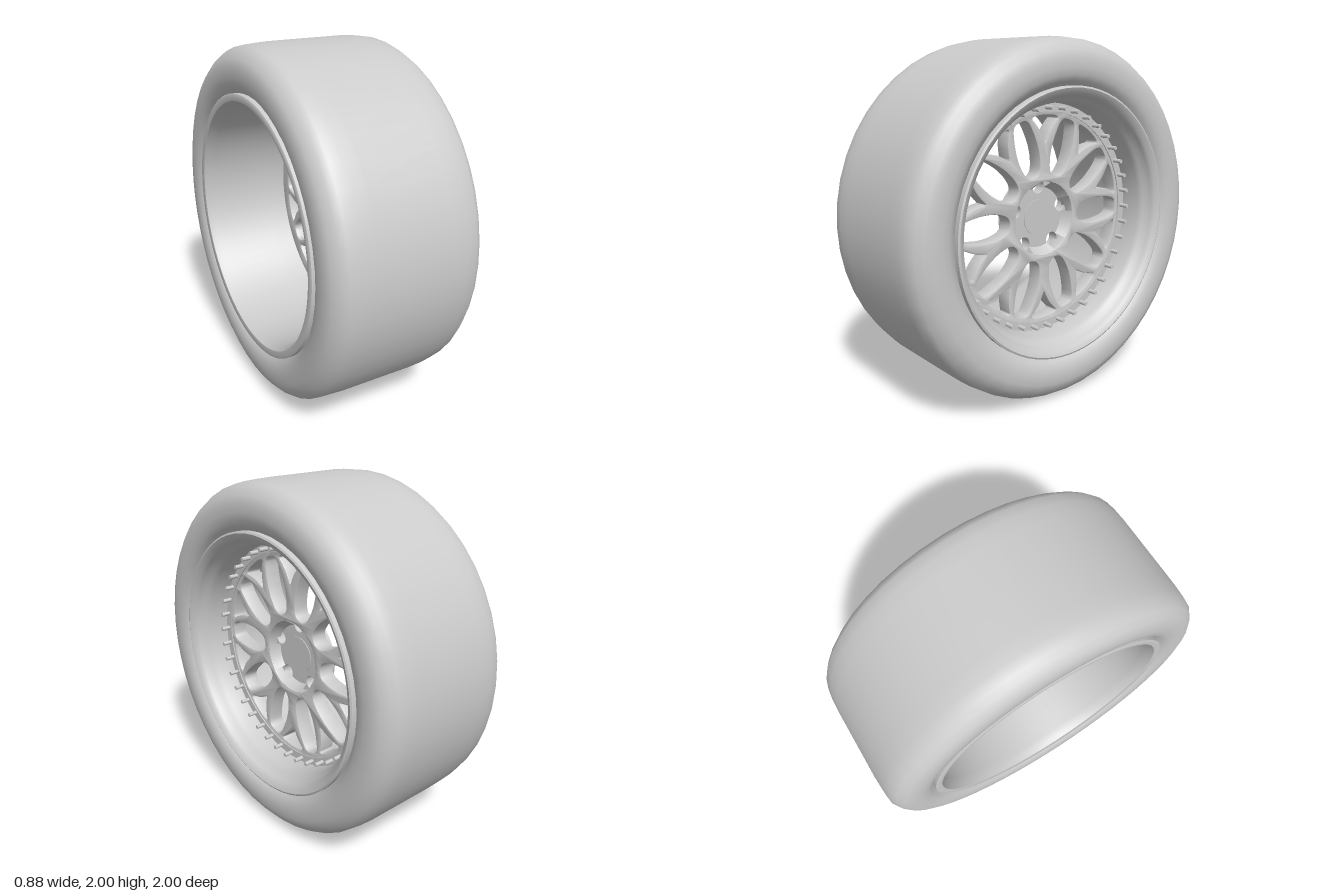
import * as THREE from 'three';
import { toCreasedNormals } from 'three/addons/utils/BufferGeometryUtils.js';

const material = new THREE.MeshStandardMaterial({ color: 0xcccccc, side: THREE.DoubleSide });
const TAU = Math.PI * 2;

// Profile of [radius, x] pairs turned around the x axle
function turned(profile, segments, crease, start = 0, length = TAU) {
  let g = new THREE.LatheGeometry(profile.map(([r, x]) => new THREE.Vector2(r, x)), segments, start, length);
  g.rotateZ(-Math.PI / 2);
  return crease ? toCreasedNormals(g, crease) : g;
}

// Flat shape given thickness along the axle, starting at x
function plate(shape, x, depth, bevel) {
  const g = new THREE.ExtrudeGeometry(shape, {
    depth: depth - 2 * bevel, curveSegments: 48, bevelEnabled: bevel > 0,
    bevelSize: bevel, bevelThickness: bevel, bevelOffset: -bevel, bevelSegments: 2,
  });
  g.rotateY(Math.PI / 2).translate(x + bevel, 0, 0);
  return toCreasedNormals(g, 0.6);
}

function disc(radius) {
  return new THREE.Shape().absarc(0, 0, radius, 0, TAU);
}

function circleHole(x, y, radius) {
  return new THREE.Path().absarc(x, y, radius, 0, TAU, true);
}

// Smooth window, symmetric about a radial line; half holds [radius, offset]
function windowHole(half, angle) {
  const mirrored = half.slice(1, -1).reverse().map(([r, t]) => [r, -t]);
  const c = Math.cos(angle), s = Math.sin(angle);
  const pts = [...half, ...mirrored].map(([r, t]) => new THREE.Vector3(r * c - t * s, r * s + t * c, 0));
  const loop = new THREE.CatmullRomCurve3(pts, true).getPoints(44).slice(0, -1);
  return new THREE.Path(loop.map((p) => new THREE.Vector2(p.x, p.y)));
}

export function createModel() {
  const model = new THREE.Group();
  const wheel = new THREE.Group();
  wheel.name = 'wheel';
  wheel.position.y = 1;
  model.add(wheel);
  const add = (name, geometry, parent = wheel) => {
    const mesh = new THREE.Mesh(geometry, material);
    mesh.name = name;
    parent.add(mesh);
    return mesh;
  };

  // Tire: mirrored sidewalls and a slightly crowned tread
  const side = [[0.72, 0.37], [0.745, 0.395], [0.77, 0.42], [0.80, 0.436], [0.84, 0.442],
    [0.89, 0.44], [0.93, 0.425], [0.965, 0.395], [0.988, 0.36], [0.996, 0.30]];
  const tire = [...side.map(([r, x]) => [r, -x]), [1, -0.22], [1, 0.22], ...side.slice().reverse()];
  add('tire', turned(tire, 48));

  // Rim: rear lip, open barrel, deep front dish and front lip
  add('rim', turned([
    [0.71, -0.38], [0.745, -0.39], [0.745, -0.425], [0.735, -0.43], [0.705, -0.425], [0.695, -0.40],
    [0.685, -0.36], [0.67, 0.0], [0.65, 0.11], [0.65, 0.22], [0.656, 0.32], [0.668, 0.35],
    [0.685, 0.365], [0.693, 0.395], [0.705, 0.415], [0.735, 0.43], [0.745, 0.425],
    [0.745, 0.39], [0.71, 0.38], [0.71, -0.38],
  ].reverse(), 72, 0.7));

  // Spoke plate: ten long windows, ten forked windows, hub opening
  const spokes = disc(0.665);
  spokes.holes.push(circleHole(0, 0, 0.212));
  const long = [[0.25, 0], [0.265, 0.04], [0.32, 0.065], [0.40, 0.076], [0.50, 0.067],
    [0.555, 0.052], [0.572, 0.035], [0.576, 0]];
  const fork = [[0.435, 0], [0.46, 0.014], [0.505, 0.04], [0.55, 0.08], [0.562, 0.092],
    [0.572, 0.085], [0.583, 0]];
  for (let i = 0; i < 10; i++) {
    const a = (i / 10) * TAU;
    spokes.holes.push(windowHole(long, a), windowHole(fork, a + TAU / 20));
  }
  add('spokes', plate(spokes, 0.11, 0.095, 0.008));

  // Raised band on the bolt ring
  add('boltRing', turned([[0.602, 0.2], [0.652, 0.2], [0.652, 0.211], [0.602, 0.211], [0.602, 0.2]], 72, 0.5));

  // Sunken hub floor with five lug holes
  const hub = disc(0.235);
  for (let i = 0; i < 5; i++) {
    const a = Math.PI / 2 + (i / 5) * TAU;
    hub.holes.push(circleHole(0.178 * Math.cos(a), 0.178 * Math.sin(a), 0.041));
  }
  add('hubFloor', plate(hub, 0.08, 0.065, 0));
  add('centreCap', turned([[0.105, 0.14], [0.105, 0.149], [0, 0.149]], 40, 0.5));

  // Sloped hub wall between the lug holes
  const gap = 0.235;
  for (let i = 0; i < 5; i++) {
    add('hubWall', turned([[0.172, 0.14], [0.222, 0.14], [0.222, 0.203], [0.212, 0.203], [0.172, 0.14]],
      10, 0.5, Math.PI * 1.5 + gap + (i / 5) * TAU, TAU / 5 - 2 * gap));
  }

  // Rim bolts
  const bolts = new THREE.Group();
  bolts.name = 'rimBolts';
  wheel.add(bolts);
  const boltGeometry = new THREE.CylinderGeometry(0.012, 0.012, 0.06, 10).rotateZ(-Math.PI / 2);
  for (let i = 0; i < 40; i++) {
    const a = (i / 40) * TAU;
    add('bolt', boltGeometry, bolts).position.set(0.235, 0.625 * Math.sin(a), 0.625 * Math.cos(a));
  }
  return model;
}
